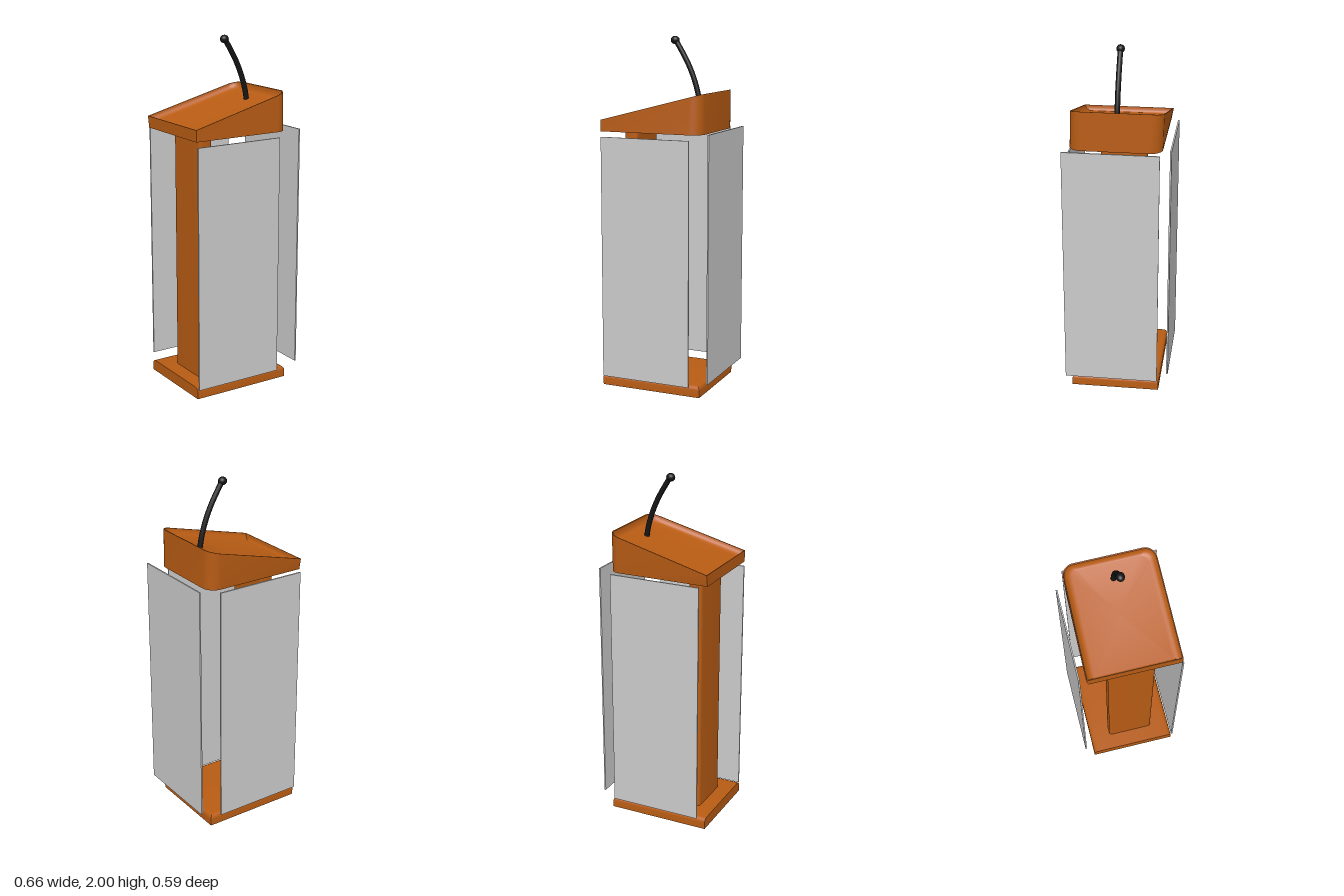
import * as THREE from 'three';
import { toCreasedNormals } from 'three/addons/utils/BufferGeometryUtils.js';

const wood = new THREE.MeshStandardMaterial({ color: 0xb85c14 });
const grey = new THREE.MeshStandardMaterial({ color: 0xcccccc });
const black = new THREE.MeshStandardMaterial({ color: 0x151515 });

// Plan outline, square at -x and rounded by r at the +x corners; y may depend on x.
function outline(x0, x1, z0, z1, r, yAt, taper = 0) {
  const pts = [];
  const add = (x, z) => pts.push(new THREE.Vector3(x, yAt(x), z * (1 - taper * (x - x0))));
  const n = 8;
  add(x0, z1);
  for (let i = 0; i <= n; i++) {
    const a = (i / n) * Math.PI / 2;
    add(x1 - r + r * Math.sin(a), z1 - r + r * Math.cos(a));
  }
  for (let i = 0; i <= n; i++) {
    const a = (i / n) * Math.PI / 2;
    add(x1 - r + r * Math.cos(a), z0 + r - r * Math.sin(a));
  }
  add(x0, z0);
  return pts;
}

// Skin between consecutive rings, closed by a fan at both ends.
function loft(rings, crease) {
  const collapse = (ring) => {
    const c = new THREE.Vector3();
    const box = new THREE.Box3().setFromPoints(ring);
    box.getCenter(c);
    return ring.map(() => c);
  };
  const all = [collapse(rings[0]), ...rings, collapse(rings[rings.length - 1])];
  const pos = [];
  const tri = (a, b, c) => {
    if (a.distanceTo(b) < 1e-6 || b.distanceTo(c) < 1e-6 || c.distanceTo(a) < 1e-6) return;
    for (const p of [a, b, c]) pos.push(p.x, p.y, p.z);
  };
  for (let i = 0; i < all.length - 1; i++) {
    const lo = all[i], hi = all[i + 1];
    for (let j = 0; j < lo.length; j++) {
      const k = (j + 1) % lo.length;
      tri(lo[j], lo[k], hi[k]);
      tri(lo[j], hi[k], hi[j]);
    }
  }
  const g = new THREE.BufferGeometry();
  g.setAttribute('position', new THREE.Float32BufferAttribute(pos, 3));
  return toCreasedNormals(g, crease);
}

export function createModel() {
  const model = new THREE.Group();
  const add = (name, geometry, material) => {
    const mesh = new THREE.Mesh(geometry, material);
    mesh.name = name;
    model.add(mesh);
    return mesh;
  };

  // Base plate: square footprint with softened upper edges on three sides
  const baseRings = [outline(-0.33, 0.27, -0.243, 0.265, 0, () => 0)];
  for (let i = 0; i <= 5; i++) {
    const a = (i / 5) * Math.PI / 2;
    const inset = 0.025 * (1 - Math.cos(a));
    const y = 0.04 + 0.025 * Math.sin(a);
    baseRings.push(outline(-0.33, 0.27 - inset, -0.243 + inset, 0.265 - inset, 0, () => y));
  }
  add('base', loft(baseRings, 0.6), wood);

  // Column: rounded rectangular post
  const post = new THREE.Shape();
  const w = 0.04, d = 0.135, r = 0.015;
  post.moveTo(-w + r, -d);
  post.absarc(w - r, -d + r, r, -Math.PI / 2, 0);
  post.absarc(w - r, d - r, r, 0, Math.PI / 2);
  post.absarc(-w + r, d - r, r, Math.PI / 2, Math.PI);
  post.absarc(-w + r, -d + r, r, Math.PI, Math.PI * 1.5);
  const postGeo = new THREE.ExtrudeGeometry(post, { depth: 1.425, bevelEnabled: false, curveSegments: 6 });
  postGeo.rotateX(-Math.PI / 2);
  add('column', toCreasedNormals(postGeo, 0.6), wood).position.set(-0.2, 0.06, 0.015);

  // Reading desk: sloped wedge with a dished top
  const slope = (drop) => (x) => 1.54 + (x + 0.33) * 0.26 - drop;
  const deskRings = [
    outline(-0.33, 0.27, -0.245, 0.265, 0.07, () => 1.475),
    outline(-0.33, 0.267, -0.257, 0.266, 0.065, slope(0), 0.05),
    outline(-0.327, 0.26, -0.252, 0.261, 0.06, slope(0), 0.05),
  ];
  for (let i = 1; i <= 6; i++) {
    const a = (i / 6) * Math.PI / 2;
    const out = 1 - Math.cos(a), drop = 0.036 * Math.sin(a);
    deskRings.push(outline(-0.327 + 0.018 * out, 0.26 - 0.02 * out,
      -0.252 + 0.045 * out, 0.261 - 0.045 * out, 0.06 - 0.015 * out, slope(drop), 0.05));
  }
  add('readingDesk', loft(deskRings, 0.6), wood);

  // Cladding panels standing off the front, back and side
  const panel = (name, sx, sy, sz, x, y, z) =>
    add(name, new THREE.BoxGeometry(sx, sy, sz), grey).position.set(x, y, z);
  panel('frontPanel', 0.533, 1.39, 0.009, -0.059, 0.75, 0.272);
  panel('backPanel', 0.533, 1.39, 0.009, -0.034, 0.783, -0.29);
  panel('sidePanel', 0.008, 1.39, 0.533, 0.328, 0.79, 0.027);

  // Gooseneck microphone
  const path = new THREE.CatmullRomCurve3([
    [0.163, 1.615], [0.152, 1.68], [0.125, 1.77], [0.085, 1.86], [0.02, 1.97],
  ].map(([x, y]) => new THREE.Vector3(x, y, 0.01)));
  add('microphoneStem', new THREE.TubeGeometry(path, 24, 0.015, 12), black);
  const tip = add('microphoneTip', new THREE.SphereGeometry(0.023, 20, 14), black);
  tip.position.set(0.012, 1.977, 0.01);
  tip.scale.set(1.1, 1, 1);

  return model;
}
